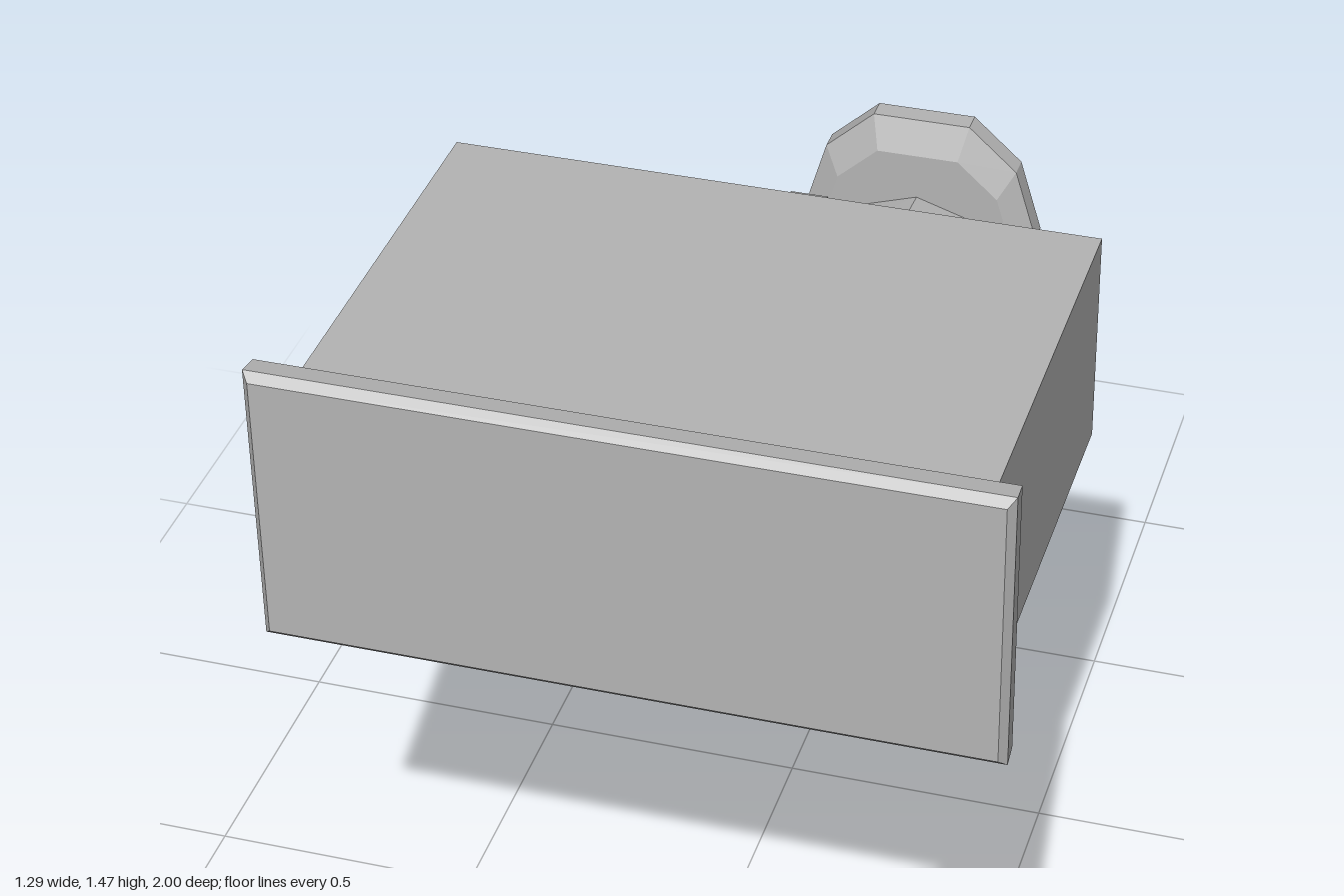
import * as THREE from 'three';

const grey = new THREE.MeshStandardMaterial({ color: 0xb4b4b4 });
grey.name = 'plain grey';

// Skin a list of equal-length rings, capping both ends. Flat facets.
// Rings run counterclockwise when seen from the direction of travel.
function loft(name, rings) {
  const pos = [];
  const tri = (a, b, c) => pos.push(...a, ...b, ...c);
  const n = rings[0].length;
  for (let r = 0; r < rings.length - 1; r++) {
    for (let i = 0; i < n; i++) {
      const j = (i + 1) % n, a = rings[r], b = rings[r + 1];
      tri(a[i], a[j], b[j]);
      tri(a[i], b[j], b[i]);
    }
  }
  const centre = ring => [0, 1, 2].map(k => ring.reduce((s, p) => s + p[k], 0) / n);
  const first = rings[0], last = rings[rings.length - 1];
  for (let i = 0; i < n; i++) {
    const j = (i + 1) % n;
    tri(centre(first), first[j], first[i]);
    tri(centre(last), last[i], last[j]);
  }
  const geo = new THREE.BufferGeometry();
  geo.setAttribute('position', new THREE.Float32BufferAttribute(pos, 3));
  geo.computeVertexNormals();
  const mesh = new THREE.Mesh(geo, grey);
  mesh.name = name;
  return mesh;
}

// Section spanning a low and a high [z, y] point, half width w; 4 sides give a rectangle
function section(n, [z0, y0, z1, y1, w, cx = 0]) {
  const k = n === 4 ? Math.SQRT2 : 1;
  const turn = n === 4 ? Math.PI / 4 : 0;
  return Array.from({ length: n }, (_, i) => {
    const a = turn + (i / n) * Math.PI * 2;
    const s = Math.sin(a) * k / 2;
    return [cx + Math.cos(a) * k * w, (y0 + y1) / 2 + s * (y1 - y0), (z0 + z1) / 2 + s * (z1 - z0)];
  });
}
const sweep = (name, n, stations) => loft(name, stations.map(s => section(n, s)));

export function createModel() {
  const model = new THREE.Group();
  model.name = 'mountedBox';

  // Large box with a sloping, bevelled underside
  const boxRing = (z, low, inset = 0) => [
    [0.59 - inset, 1.41 - inset, z], [-0.59 + inset, 1.41 - inset, z],
    [-0.59 + inset, 1.0 + inset, z], [-0.54 + inset, low + inset, z],
    [0.54 - inset, low + inset, z], [0.59 - inset, 1.0 + inset, z],
  ];
  model.add(loft('boxBody', [
    boxRing(0.11, 0.985, 0.008), boxRing(0.12, 0.985), boxRing(0.7, 0.93), boxRing(0.91, 0.93),
  ]));

  // Flared front panel
  model.add(sweep('frontPanel', 4, [
    [0.9, 0.985, 0.9, 1.415, 0.595],
    [0.945, 0.94, 0.945, 1.465, 0.643],
    [0.985, 0.935, 0.985, 1.47, 0.645],
    [1.0, 0.95, 1.0, 1.455, 0.632],
  ]));

  // Bent arm from the shell up to the box
  model.add(sweep('arm', 4, [
    [-0.13, 0.84, -0.215, 0.84, 0.045, -0.01],
    [-0.125, 0.95, -0.21, 1.0, 0.042, -0.01],
    [-0.09, 1.12, -0.21, 1.15, 0.04, -0.01],
    [-0.07, 1.19, -0.15, 1.24, 0.035, -0.01],
    [-0.065, 1.195, -0.07, 1.265, 0.035, -0.01],
    [0.12, 1.19, 0.12, 1.3, 0.045, -0.01],
  ]));

  // Hollow shell: outside from back to front, then the inside going back
  model.add(sweep('shell', 12, [
    [-0.53, 0.02, -0.52, 0.73, 0.19],
    [-0.46, 0.02, -0.45, 0.78, 0.27],
    [-0.34, 0.03, -0.31, 0.87, 0.36],
    [-0.24, 0.04, -0.2, 0.9, 0.385],
    [-0.105, 0.05, -0.105, 0.905, 0.38],
    [-0.105, 0.14, -0.105, 0.8, 0.295],
    [-0.32, 0.14, -0.32, 0.78, 0.28],
    [-0.49, 0.18, -0.49, 0.68, 0.16],
  ]));

  // Bars on the inner back wall
  for (const [name, y, h, z] of [['innerBar', 0.5, 0.13, -0.43], ['innerPlate', 0.32, 0.23, -0.46], ['innerLedge', 0.19, 0.03, -0.44]]) {
    const bar = new THREE.Mesh(new THREE.BoxGeometry(name === 'innerBar' ? 0.32 : 0.27, h, 0.06), grey);
    bar.name = name;
    bar.position.set(-0.02, y, z);
    model.add(bar);
  }

  // Small horn on the shell's right shoulder
  model.add(sweep('horn', 4, [
    [-0.24, 0.73, -0.38, 0.73, 0.075, -0.255],
    [-0.25, 0.85, -0.36, 0.85, 0.065, -0.265],
    [-0.26, 1.02, -0.33, 1.035, 0.035, -0.295],
  ]));

  // Three struts joining shell and back pad
  model.add(sweep('upperStrut', 8, [
    [-0.94, 0.55, -0.94, 0.775, 0.145],
    [-0.8, 0.56, -0.8, 0.785, 0.15],
    [-0.67, 0.55, -0.67, 0.79, 0.135],
    [-0.57, 0.55, -0.57, 0.755, 0.12],
    [-0.47, 0.54, -0.47, 0.73, 0.13],
  ]));
  model.add(sweep('lowerStrut', 8, [
    [-0.94, 0.1, -0.92, 0.28, 0.13],
    [-0.75, 0.04, -0.74, 0.25, 0.15],
    [-0.58, 0.0, -0.58, 0.24, 0.18],
    [-0.45, 0.02, -0.45, 0.25, 0.22],
  ]));
  model.add(sweep('middleStrut', 8, [
    [-0.74, 0.15, -0.94, 0.18, 0.12],
    [-0.72, 0.33, -0.93, 0.38, 0.13],
    [-0.64, 0.41, -0.84, 0.49, 0.15],
    [-0.56, 0.41, -0.72, 0.57, 0.18],
    [-0.47, 0.42, -0.5, 0.6, 0.2],
  ]));

  // Back pad: wide upper lobe, narrower lower lobe, chamfered towards the front
  const half = [[0.1, 0.1], [0.17, 0.17], [0.175, 0.4], [0.235, 0.55], [0.245, 0.7], [0.2, 0.85], [0.1, 0.94]];
  const outline = [...half, ...half.map(([x, y]) => [-x, y]).reverse()];
  const padRing = (z, s) => outline.map(([x, y]) => [x * s, 0.52 + (y - 0.52) * s, z]);
  model.add(loft('backPad', [padRing(-1, 1), padRing(-0.955, 1), padRing(-0.925, 0.84)]));

  return model;
}
